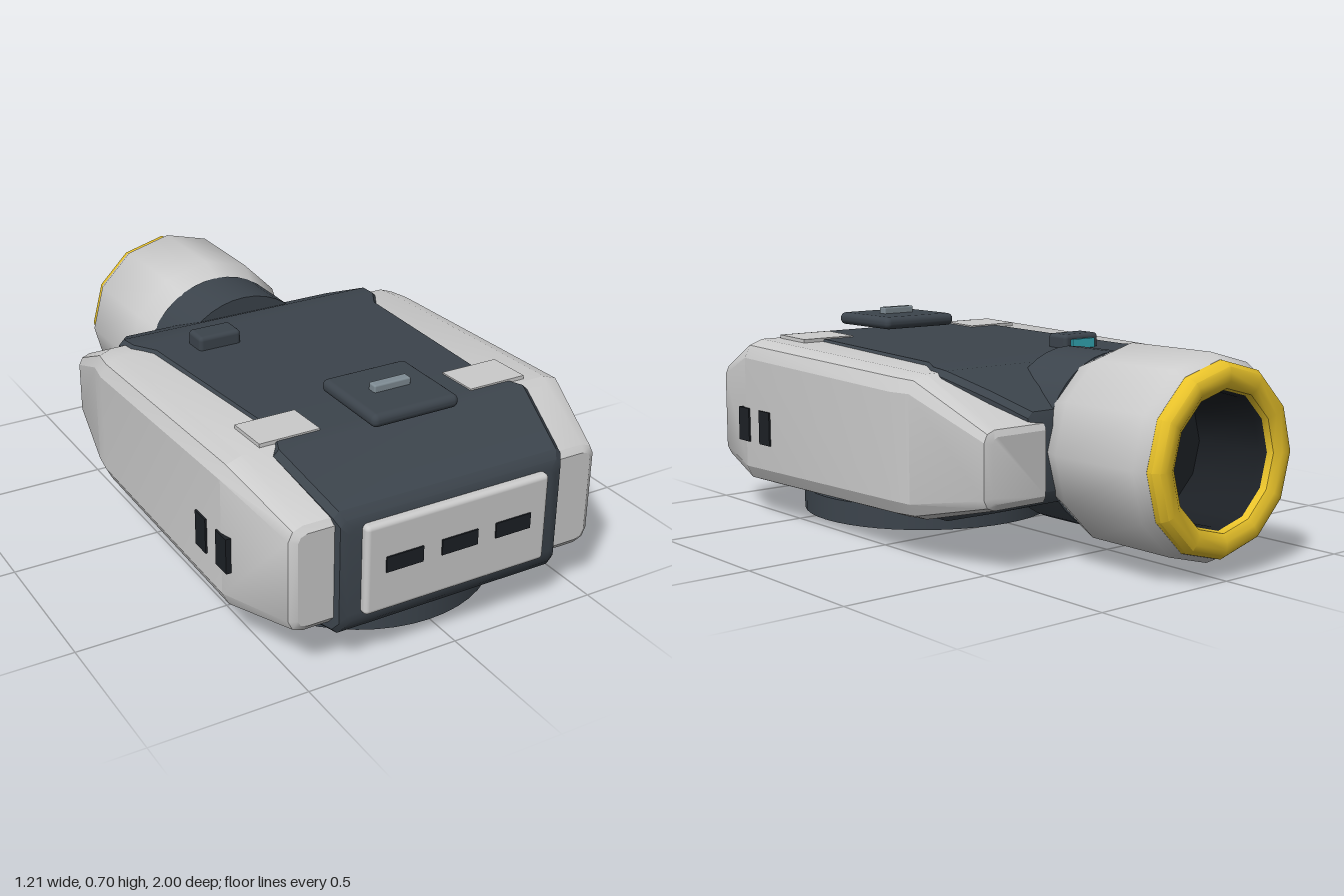
import * as THREE from 'three';
import { toCreasedNormals } from 'three/addons/utils/BufferGeometryUtils.js';
import { RoundedBoxGeometry } from 'three/addons/geometries/RoundedBoxGeometry.js';

const mat = (color) => new THREE.MeshStandardMaterial({ color });
const grey = mat(0xcccccc), dark = mat(0x3c444c), black = mat(0x1c2025);
const yellow = mat(0xe8c22a), cyan = mat(0x35b0bd), steel = mat(0x7f8c94);

// Joins convex rings (counter-clockwise from +z, ascending z) into a capped solid.
function loft(sections) {
  const n = sections[0].pts.length, pos = [], idx = [];
  for (const s of sections) for (const [x, y] of s.pts) pos.push(x, y, s.z);
  for (let k = 0; k < sections.length - 1; k++) {
    for (let i = 0; i < n; i++) {
      const j = (i + 1) % n, a = k * n + i, b = k * n + j;
      idx.push(a, b, b + n, a, b + n, a + n);
    }
  }
  const last = (sections.length - 1) * n;
  for (let i = 1; i < n - 1; i++) idx.push(0, i + 1, i, last, last + i, last + i + 1);
  const g = new THREE.BufferGeometry();
  g.setAttribute('position', new THREE.Float32BufferAttribute(pos, 3));
  g.setIndex(idx);
  return toCreasedNormals(g, 0.45);
}

export function createModel() {
  const model = new THREE.Group();
  const add = (name, geo, material, x = 0, y = 0, z = 0) => {
    const m = new THREE.Mesh(geo, material);
    m.name = name;
    m.position.set(x, y, z);
    model.add(m);
    return m;
  };
  const mirror = (mesh, name) => {
    const m = mesh.clone();
    m.name = name;
    m.scale.x = -1;
    m.position.x *= -1;
    model.add(m);
  };
  const box = (w, h, d, r) => r ? new RoundedBoxGeometry(w, h, d, 3, r) : new THREE.BoxGeometry(w, h, d);

  // Floor disc
  add('baseDisc', new THREE.CylinderGeometry(0.443, 0.443, 0.08, 48), dark, 0, 0.04, 0.425);

  // Dark core: z, half width, bottom, top
  const core = [
    [-0.54, 0.31, 0.23, 0.43], [-0.52, 0.35, 0.19, 0.475], [-0.42, 0.415, 0.16, 0.528],
    [-0.28, 0.485, 0.122, 0.585], [-0.21, 0.48, 0.12, 0.59], [-0.13, 0.435, 0.118, 0.593],
    [0.5, 0.4, 0.105, 0.61], [0.64, 0.42, 0.102, 0.614], [0.7, 0.445, 0.1, 0.614],
    [0.94, 0.392, 0.12, 0.518], [0.96, 0.38, 0.145, 0.495], [0.97, 0.355, 0.17, 0.47],
  ];
  add('coreBody', loft(core.map(([z, w, b, t]) => {
    const c = 0.018;
    return { z, pts: [[w, b + c], [w, t - c], [w - c, t], [c - w, t], [-w, t - c], [-w, b + c], [c - w, b], [w - c, b]] };
  })), dark);

  // Side shells: z, outer x, bottom, top, chamfer width, chamfer height
  const shell = [
    [-0.545, 0.505, 0.22, 0.42, 0.02, 0.02], [-0.535, 0.53, 0.2, 0.44, 0.04, 0.035],
    [-0.25, 0.587, 0.13, 0.577, 0.065, 0.055], [-0.17, 0.6, 0.127, 0.582, 0.07, 0.06],
    [0.67, 0.6, 0.112, 0.608, 0.07, 0.06], [0.93, 0.527, 0.16, 0.5, 0.045, 0.04],
    [0.945, 0.505, 0.18, 0.48, 0.03, 0.025],
  ];
  const side = add('leftShell', loft(shell.map(([z, o, b, t, cx, cy]) => ({
    z,
    pts: [[0.3, b], [o - cx, b], [o - cx * 0.3, b + cy * 0.3], [o, b + cy], [o, t - cy],
      [o - cx * 0.3, t - cy * 0.3], [o - cx, t], [0.3, t]],
  }))), grey);
  mirror(side, 'rightShell');

  // Tabs that reach from the shells over the core
  const tab = add('leftShellTab', box(0.2, 0.04, 0.15), grey, 0.365, 0.597, 0.58);
  tab.rotation.x = -0.03;
  mirror(tab, 'rightShellTab');

  // Side vents
  for (const z of [0.677, 0.547]) {
    const vent = add('leftVent', box(0.03, 0.115, 0.065), black, 0.591, 0.318, z);
    mirror(vent, 'rightVent');
  }

  // Front panel with three slots
  add('frontPanel', box(0.63, 0.29, 0.05, 0.015), grey, 0, 0.33, 0.97);
  for (const x of [-0.188, 0, 0.188]) add('frontSlot', box(0.124, 0.05, 0.02), black, x, 0.34, 0.99);

  // Top hatch and its handle
  add('topHatch', box(0.3, 0.043, 0.3, 0.02), dark, 0, 0.651, 0.61);
  add('hatchHandle', box(0.128, 0.035, 0.034, 0.006), steel, 0, 0.678, 0.61);

  // Sensor with a lit window facing the rear
  add('sensorBlock', box(0.15, 0.08, 0.09, 0.014), dark, -0.225, 0.6, -0.092);
  add('sensorWindow', box(0.1, 0.034, 0.016), cyan, -0.225, 0.607, -0.138);

  // Rear nozzle, turned around an axis that points to the back
  const turned = (name, pts, segments, material) => {
    const geo = new THREE.LatheGeometry(pts.map(([r, d]) => new THREE.Vector2(r, d)), segments);
    add(name, toCreasedNormals(geo, 0.7), material, 0, 0.352, 0).rotation.x = -Math.PI / 2;
  };
  turned('neck', [[0, 0.31], [0.278, 0.31], [0.278, 0.52], [0, 0.52]], 40, dark);
  turned('nozzleSleeve', [[0, 0.485], [0.262, 0.485], [0.285, 0.53], [0.313, 0.6], [0.313, 0.92],
    [0.294, 0.957], [0.22, 0.957]], 12, grey);
  turned('nozzleRing', [[0.22, 0.95], [0.294, 0.95], [0.292, 0.975], [0.278, 0.995], [0.26, 1],
    [0.235, 1], [0.213, 0.985], [0.205, 0.95]], 12, yellow);
  turned('nozzleBore', [[0.212, 0.975], [0.2, 0.94], [0.2, 0.7], [0, 0.7]], 12, black);

  return model;
}
